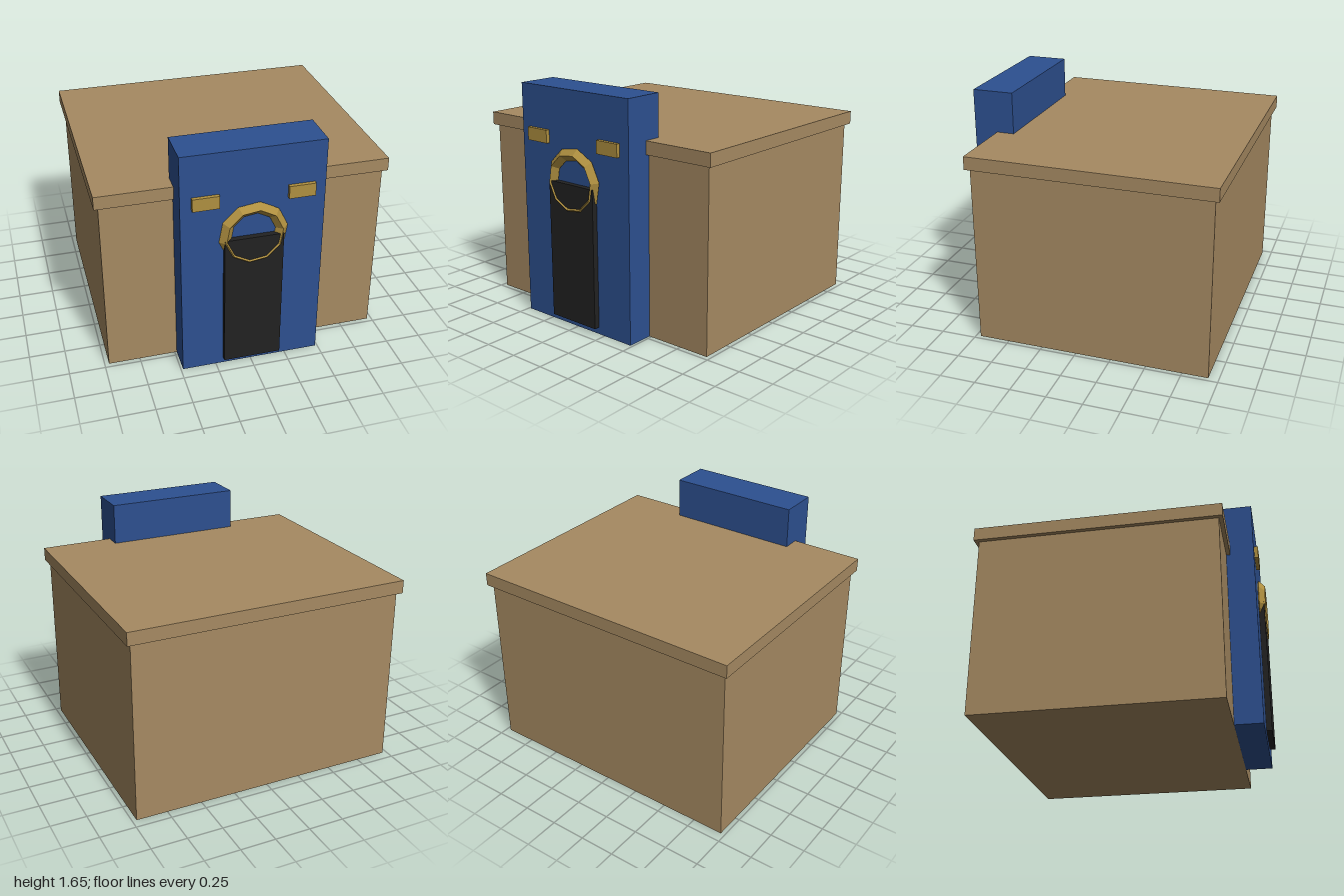
import * as THREE from 'three';

const flat = (name, color) => {
  const m = new THREE.MeshStandardMaterial({ color });
  m.name = name;
  m.flatShading = true;
  return m;
};

export function createModel() {
  const sand = flat('sand', 0xa68a62);
  const blue = flat('blue', 0x2d5090);
  const black = flat('black', 0x222222);
  const gold = flat('gold', 0xb09040);
  const group = new THREE.Group();

  // Box given by its limits on each axis
  const box = (name, mat, [x0, x1], [y0, y1], [z0, z1]) => {
    const mesh = new THREE.Mesh(new THREE.BoxGeometry(x1 - x0, y1 - y0, z1 - z0), mat);
    mesh.position.set((x0 + x1) / 2, (y0 + y1) / 2, (z0 + z1) / 2);
    mesh.name = name;
    group.add(mesh);
  };

  // Building and overhanging roof slab
  box('walls', sand, [-0.97, 0.97], [0, 1.27], [-0.93, 0.717]);
  box('roof', sand, [-1, 1], [1.268, 1.36], [-0.96, 0.745]);

  // Tall entrance block, just clear of the floor plane of the walls
  box('portal', blue, [-0.485, 0.485], [0.001, 1.653], [0.62, 0.91]);
  box('door', black, [-0.2, 0.2], [0.05, 1.025], [0.9, 0.95]);

  // Plaques either side of the arch
  for (const [side, name] of [[1, 'leftPlaque'], [-1, 'rightPlaque']]) {
    const xs = [side * 0.23, side * 0.41].sort((a, b) => a - b);
    box(name, gold, xs, [1.27, 1.36], [0.9, 0.937]);
  }

  // Faceted ring over the door, half sunk into the portal
  const ring = new THREE.Mesh(new THREE.TorusGeometry(0.193, 0.042, 4, 10), gold);
  ring.name = 'archRing';
  ring.position.set(0, 1.037, 0.917);
  ring.rotation.z = THREE.MathUtils.degToRad(8);
  group.add(ring);

  return group;
}
